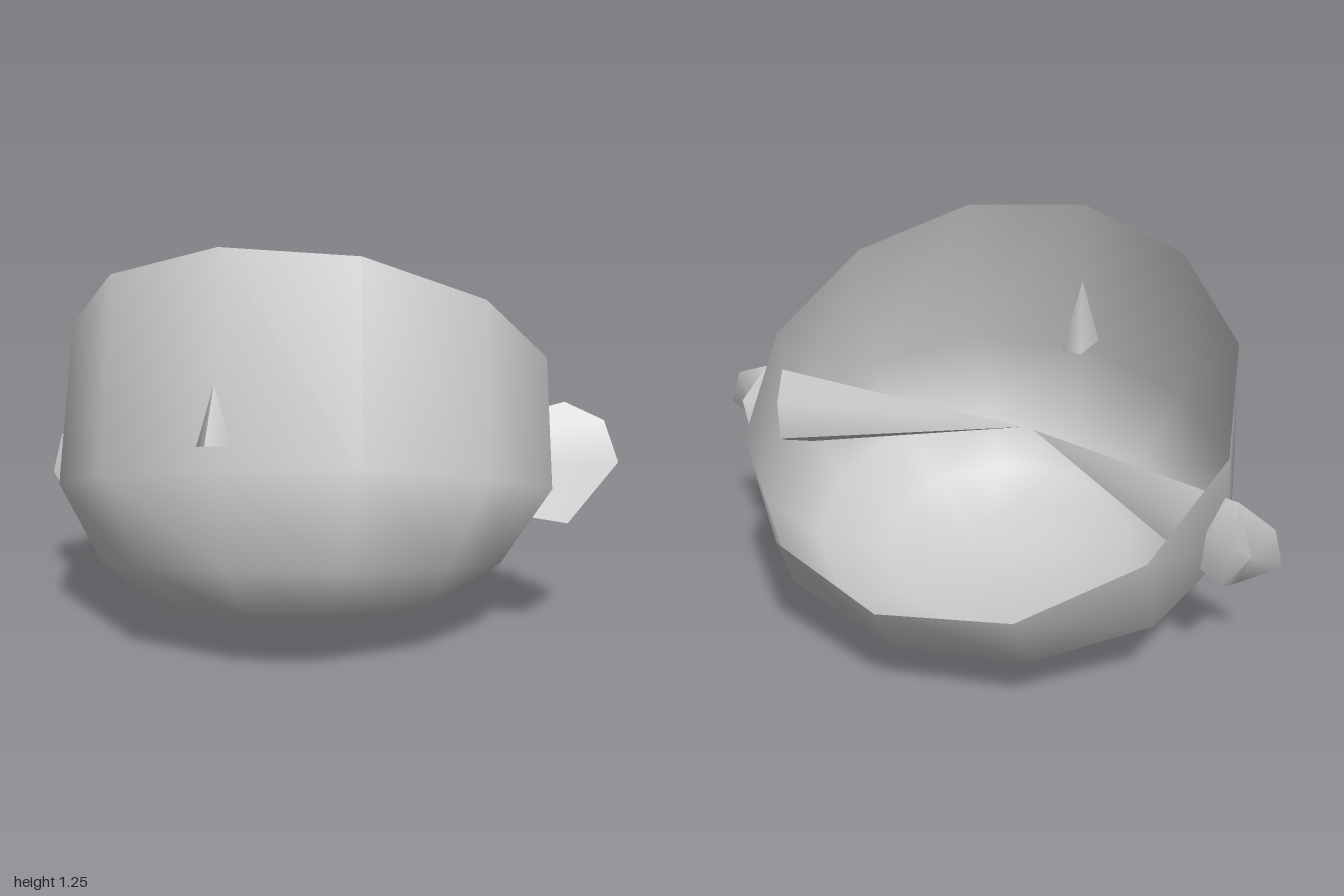
import * as THREE from 'three';
import { toCreasedNormals } from 'three/addons/utils/BufferGeometryUtils.js';

const clay = new THREE.MeshStandardMaterial({ color: 0xcccccc, side: THREE.DoubleSide });
clay.name = 'grey clay';

function build(points, index) {
  const g = new THREE.BufferGeometry();
  g.setAttribute('position', new THREE.Float32BufferAttribute(points.flat(), 3));
  g.setIndex(index);
  g.computeVertexNormals();
  return g;
}

function addMesh(group, name, geometry) {
  const m = new THREE.Mesh(geometry, clay);
  m.name = name;
  group.add(m);
  return m;
}

// Open bowl: slanted 12-sided rings, each from a front and a back point
function bowlGeometry() {
  const N = 12;
  const rings = [ // front z, front y, back z, back y, half width
    [0.58, 1.25, -0.79, 0.37, 0.79],
    [0.77, 0.65, -0.68, 0.19, 0.81],
    [0.74, 0.35, -0.49, 0.06, 0.65],
    [0.63, 0.18, -0.23, 0.0, 0.44],
    [0.39, 0.09, 0.1, 0.01, 0.18],
  ];
  const points = [], index = [];
  for (const [fz, fy, bz, by, w] of rings) {
    for (let j = 0; j < N; j++) {
      const a = (j / N) * Math.PI * 2, t = (1 + Math.cos(a)) / 2;
      points.push([w * Math.sin(a), by + (fy - by) * t, bz + (fz - bz) * t]);
    }
  }
  const bottom = points.length;
  points.push([0, 0.045, 0.24]);
  for (let i = 0; i < rings.length; i++) {
    for (let j = 0; j < N; j++) {
      const k = (j + 1) % N, a = i * N + j, b = i * N + k;
      if (i === rings.length - 1) index.push(a, bottom, b);
      else index.push(a, a + N, b + N, a, b + N, b);
    }
  }
  return build(points, index);
}

// Ear: long six-sided cone reaching the middle of the bowl, with a domed outer end
function earGeometry(side) {
  const loop = [
    [0.84, 0.67, -0.09], [0.96, 0.61, -0.08], [1.0, 0.48, -0.06],
    [0.85, 0.31, 0.04], [0.85, 0.41, -0.16], [0.87, 0.57, -0.19],
  ];
  const points = [...loop, [0.02, 0.52, 0.27], [0.91, 0.5, -0.1]]
    .map(([x, y, z]) => [x * side, y, z]);
  const index = [];
  for (let i = 0; i < 6; i++) {
    const k = (i + 1) % 6;
    const tris = [[i, k, 6], [k, i, 7]];
    for (const [a, b, c] of tris) index.push(...(side > 0 ? [b, a, c] : [a, b, c]));
  }
  return toCreasedNormals(build(points, index), 0.8);
}

// Nose: small open cone passing through the front wall
function noseGeometry() {
  const g = new THREE.ConeGeometry(1, 1, 5, 1, true);
  const p = g.attributes.position;
  for (let i = 0; i < p.count; i++) {
    const t = p.getY(i) + 0.5;
    p.setXYZ(i, p.getX(i) * 0.062, 0.7 + 0.25 * t + p.getZ(i) * 0.02,
      0.7 - 0.05 * t + p.getZ(i) * 0.1);
  }
  g.computeVertexNormals();
  return g;
}

export function createModel() {
  const model = new THREE.Group();
  model.name = 'tiltedBowlHead';
  // Everything rolls slightly to one side
  const head = new THREE.Group();
  head.name = 'head';
  head.rotation.z = 0.09;
  head.position.set(0.054, 0.012, 0);
  model.add(head);
  addMesh(head, 'bowl', bowlGeometry());
  addMesh(head, 'leftEar', earGeometry(1));
  addMesh(head, 'rightEar', earGeometry(-1));
  addMesh(head, 'nose', noseGeometry());
  return model;
}
